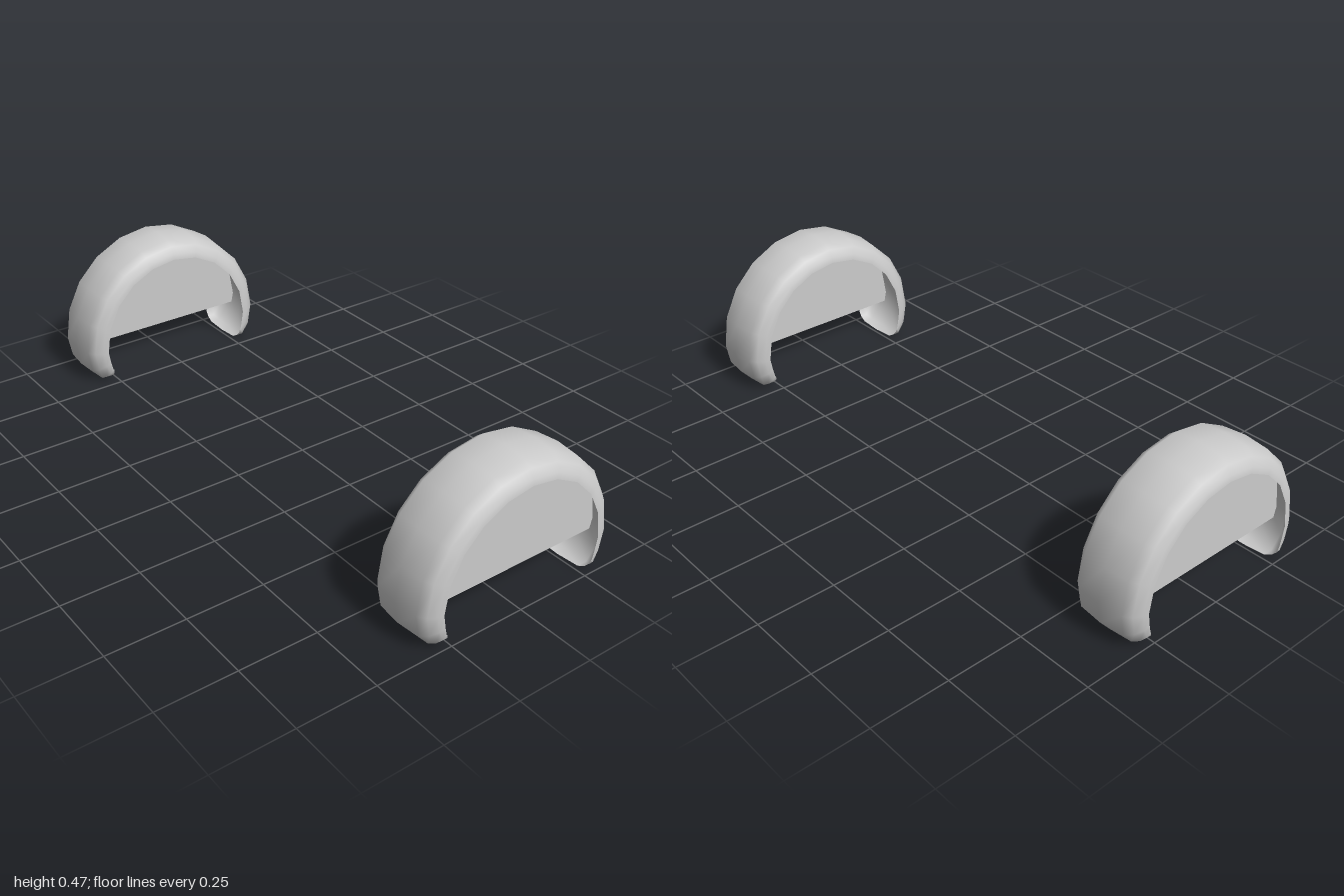
import * as THREE from 'three';

const AXLE_Y = 0.118, LIP_R = 0.284, CROWN_R = 0.352;
const CENTRE_X = 0.883, PANEL_OFFSET = 0.042;

// cross-section: [sideways offset, fraction from side lip to crown]
const half = [[0.117, 0], [0.115, 0.28], [0.1, 0.63], [0.077, 0.9]];
const section = [...half, [0, 1], ...half.slice().reverse().map(([u, f]) => [-u, f])];

// stations along the arch: lip point and crown point as [z, y]
function archStations() {
  const foot = [
    { lip: [0.268, 0.047], crown: [0.262, 0] },
    { lip: [0.271, 0.048], crown: [0.3, 0] },
    { lip: [0.277, 0.075], crown: [0.338, 0.043] },
  ];
  const mirror = ({ lip, crown }) => ({ lip: [-lip[0], lip[1]], crown: [-crown[0], crown[1]] });
  const arc = [];
  for (let i = 0; i <= 10; i++) {
    const a = (i * Math.PI) / 10;
    const at = (r) => [Math.cos(a) * r, AXLE_Y + Math.sin(a) * r];
    arc.push({ lip: at(LIP_R), crown: at(CROWN_R) });
  }
  return [...foot, ...arc, ...foot.map(mirror).reverse()];
}

// thin shell lofted through the stations
function shellGeometry() {
  const stations = archStations(), n = section.length;
  const pos = [], index = [];
  stations.forEach(({ lip, crown }, i) => {
    section.forEach(([u, f], j) => {
      pos.push(u, THREE.MathUtils.lerp(lip[1], crown[1], f), THREE.MathUtils.lerp(lip[0], crown[0], f));
      if (i && j) {
        const d = i * n + j, c = d - 1, b = d - n, a = b - 1;
        index.push(a, c, b, b, c, d);
      }
    });
  });
  const g = new THREE.BufferGeometry();
  g.setAttribute('position', new THREE.Float32BufferAttribute(pos, 3));
  g.setIndex(index);
  g.computeVertexNormals();
  return g;
}

// flat panel closing the arch, cut straight along the bottom
function panelGeometry() {
  const r = 0.344, bottom = 0.083;
  const shape = new THREE.Shape();
  shape.moveTo(r - 0.008, bottom);
  for (let i = 0; i <= 10; i++) {
    const a = (i * Math.PI) / 10;
    shape.lineTo(Math.cos(a) * r, AXLE_Y + Math.sin(a) * r);
  }
  shape.lineTo(-r + 0.008, bottom);
  return new THREE.ShapeGeometry(shape).rotateY(Math.PI / 2);
}

export function createModel() {
  const model = new THREE.Group();
  model.name = 'wheelArches';
  const material = new THREE.MeshStandardMaterial({ color: 0xcccccc, side: THREE.DoubleSide });
  const shell = shellGeometry(), panel = panelGeometry();

  for (const [name, s] of [['left', 1], ['right', -1]]) {
    const arch = new THREE.Group();
    arch.name = name + 'WheelArch';
    arch.position.x = s * CENTRE_X;

    const fender = new THREE.Mesh(shell, material);
    fender.name = name + 'Fender';

    // the panel sits towards the outer side
    const plate = new THREE.Mesh(panel, material);
    plate.name = name + 'ArchPanel';
    plate.position.x = s * PANEL_OFFSET;
    if (s < 0) plate.rotation.y = Math.PI;

    arch.add(fender, plate);
    model.add(arch);
  }
  return model;
}
